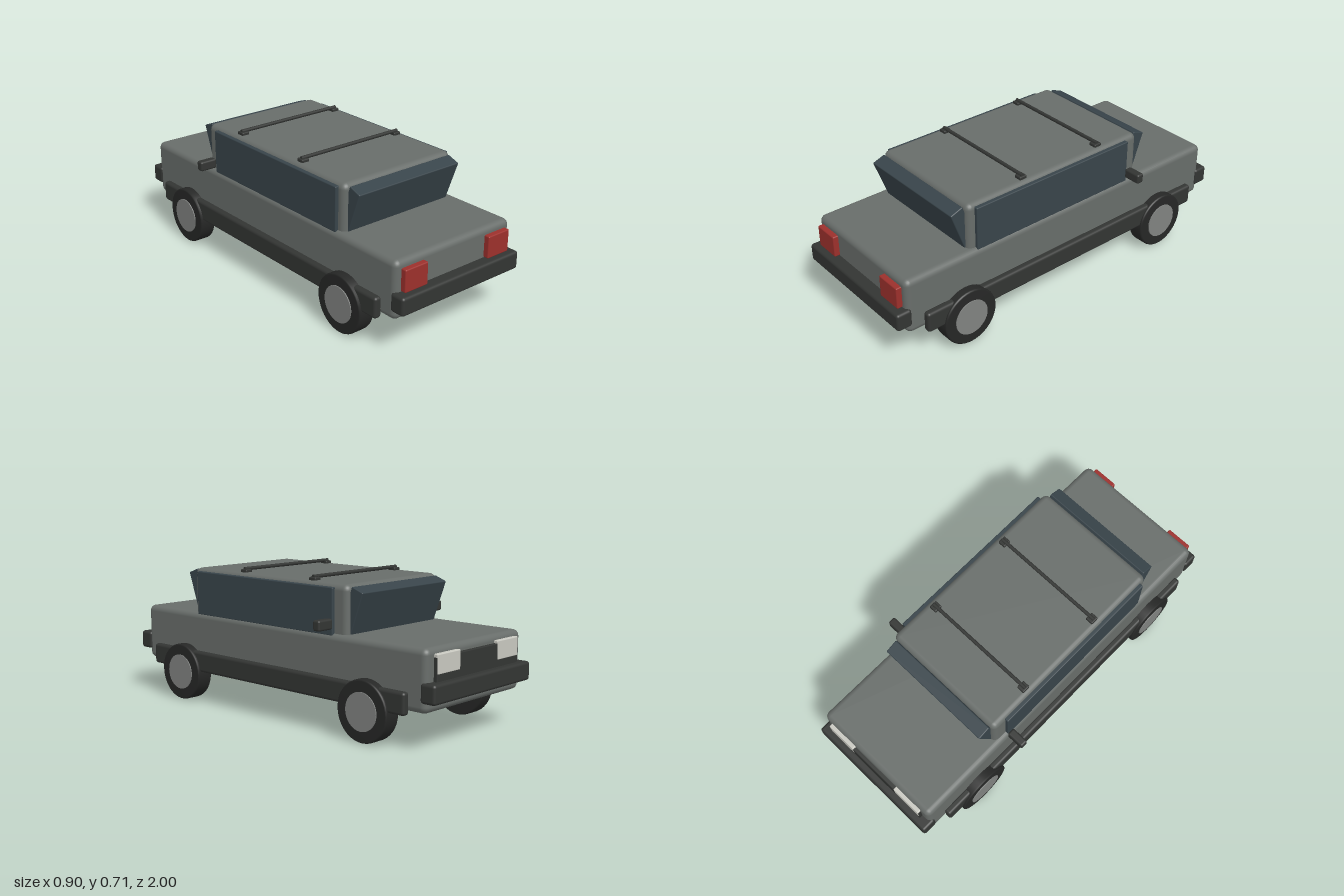
import * as THREE from 'three';
import { RoundedBoxGeometry } from 'three/addons/geometries/RoundedBoxGeometry.js';

const material = (color) => new THREE.MeshStandardMaterial({ color });

export function createModel() {
  const car = new THREE.Group();
  car.name = 'car';

  const paint = material(0x686d6a);
  const trim = material(0x333533);
  const rubber = material(0x262726);
  const glass = material(0x38444a);
  const metal = material(0x808280);
  const red = material(0x9c302c);
  const lamp = material(0xc8c8c0);

  const add = (name, geometry, mat, x, y, z) => {
    const mesh = new THREE.Mesh(geometry, mat);
    mesh.name = name;
    mesh.position.set(x, y, z);
    car.add(mesh);
    return mesh;
  };
  // Rounded box given by its size, centre and edge radius
  const box = (name, mat, [w, h, d], [x, y, z], r) =>
    add(name, new RoundedBoxGeometry(w, h, d, 3, r), mat, x, y, z);

  // Body shell and cabin
  box('body', paint, [0.715, 0.285, 1.89], [0, 0.318, -0.003], 0.03);
  box('cabin', paint, [0.665, 0.34, 1.055], [0, 0.518, 0.051], 0.03);

  // Tilted end windows, leaning outwards at the top
  for (const [name, z, s] of [['frontWindow', 0.582, 1], ['rearWindow', -0.478, -1]]) {
    const pane = box(name, glass, [0.616, 0.22, 0.07], [0, 0.564, z], 0.005);
    pane.rotation.x = s * 0.346;
  }

  // Bumpers
  for (const s of [1, -1]) {
    box(s > 0 ? 'frontBumper' : 'rearBumper', trim,
      [0.73, 0.09, 0.08], [0, 0.269, s * 0.96], 0.014);
  }

  // Grille between the pale lamps
  box('grille', trim, [0.61, 0.12, 0.03], [0, 0.362, -0.951], 0.004);

  // Roof bars on z, with a foot at each end
  for (const z of [0.235, -0.235]) {
    const bar = add('roofBar', new THREE.CylinderGeometry(0.009, 0.009, 0.6, 12), trim, 0, 0.704, z);
    bar.rotation.z = Math.PI / 2;
    for (const s of [1, -1]) {
      box('roofBarFoot', trim, [0.04, 0.022, 0.042], [s * 0.288, 0.691, z], 0.005);
    }
  }

  // Tyre cross-section with softened shoulders, turned around the axle
  const tyreProfile = [[0, -0.043], [0.137, -0.043], [0.143, -0.04], [0.145, -0.034],
    [0.145, 0.034], [0.143, 0.04], [0.137, 0.043], [0, 0.043]]
    .map(([r, y]) => new THREE.Vector2(r, y));
  const tyreGeometry = new THREE.LatheGeometry(tyreProfile, 40);
  const hubGeometry = new THREE.CylinderGeometry(0.09, 0.09, 0.02, 32);

  for (const s of [1, -1]) {
    const side = s > 0 ? 'left' : 'right';
    box(side + 'SideWindow', glass, [0.03, 0.222, 0.94], [s * 0.334, 0.561, 0.069], 0.005);
    box(side + 'Sill', trim, [0.04, 0.104, 1.71], [s * 0.37, 0.212, 0], 0.014);
    box(side + 'Mirror', trim, [0.092, 0.05, 0.04], [s * 0.406, 0.508, -0.396], 0.01);
    box(side + 'RedLight', red, [0.134, 0.11, 0.035], [s * 0.257, 0.37, 0.952], 0.006);
    box(side + 'PaleLight', lamp, [0.165, 0.09, 0.032], [s * 0.222, 0.39, -0.951], 0.005);
    for (const z of [0.625, -0.625]) {
      const tyre = add(side + 'Tyre', tyreGeometry, rubber, s * 0.359, 0.145, z);
      const hub = add(side + 'Hub', hubGeometry, metal, s * 0.397, 0.145, z);
      tyre.rotation.z = hub.rotation.z = Math.PI / 2;
    }
  }
  return car;
}
